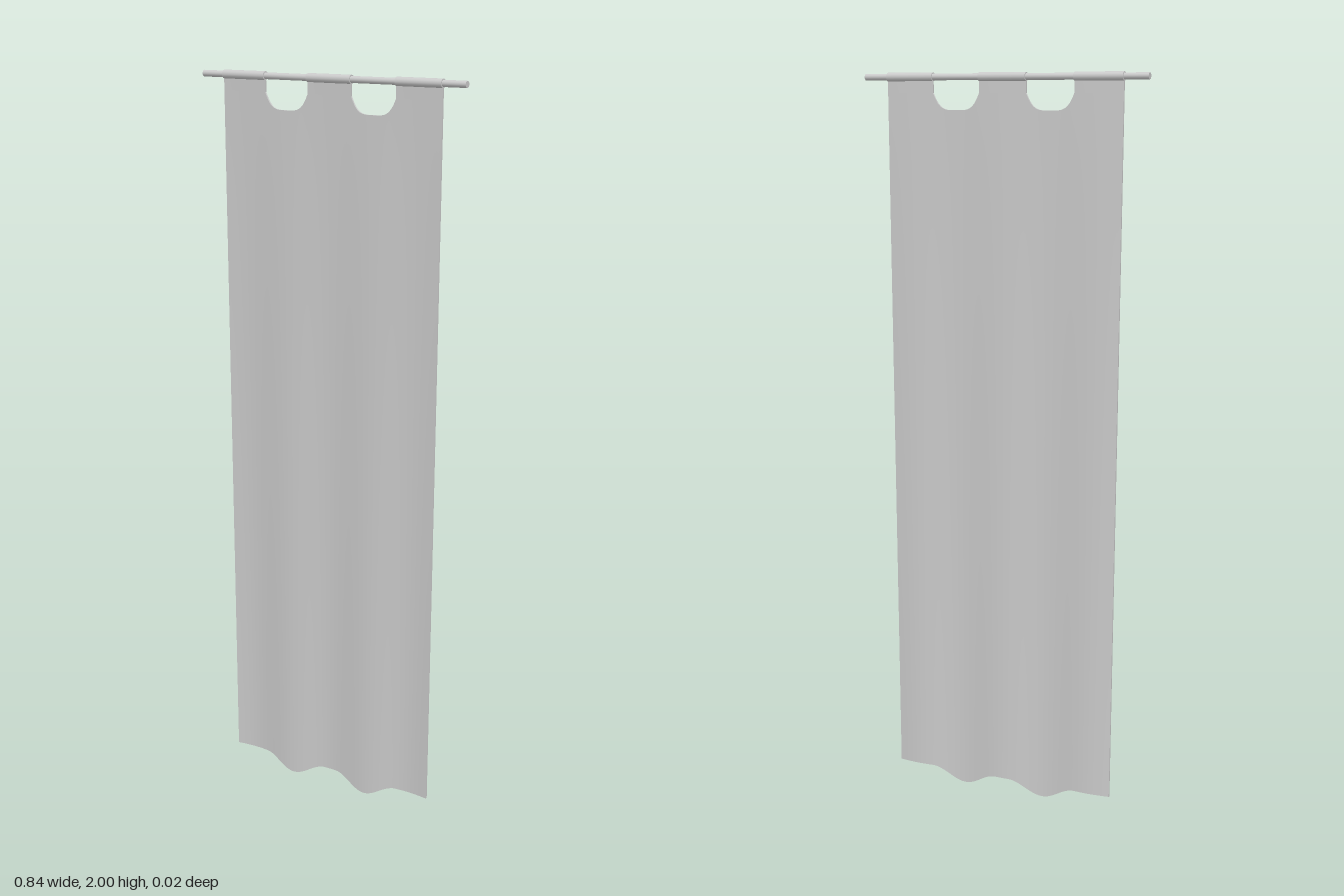
import * as THREE from 'three';

const ROD_Y = 1.988, TAB_Y = 1.945, HALF_W = 0.35, THICK = 0.005;
const material = new THREE.MeshStandardMaterial({ color: 0xcccccc, side: THREE.DoubleSide });

// Lower edge: two soft scallops hanging below a level hem
function hem(x) {
  const d = Math.min(1, Math.abs(Math.abs(x) - 0.13) / 0.11);
  return 0.037 - 0.0185 * (1 + Math.cos(Math.PI * d));
}

// Upper edge of the main cloth: dips into the two rounded openings
function upperEdge(x) {
  const d = Math.min(1, Math.abs(Math.abs(x) - 0.14) / 0.07);
  return 1.9 + (TAB_Y - 1.9) * d ** 4;
}

// Maps a flat position onto the tapering, gently rippled cloth
function drape(x, y, z) {
  const drop = Math.max(0, 1 - y / ROD_Y);
  const ripple = -0.006 * Math.sqrt(drop) * Math.cos((2 * Math.PI * x) / 0.28);
  return [x * (1 - 0.06 * drop), y, z + ripple];
}

// Thin slab between two edge functions, bent by the drape
function clothPanel(name, x0, x1, bottom, top, columns, rows) {
  const geometry = new THREE.BoxGeometry(x1 - x0, 1, THICK, columns, rows, 1);
  geometry.translate((x0 + x1) / 2, 0.5, 0);
  const p = geometry.attributes.position;
  for (let i = 0; i < p.count; i++) {
    const x = p.getX(i);
    const y = THREE.MathUtils.lerp(bottom(x), top(x), p.getY(i));
    p.setXYZ(i, ...drape(x, y, p.getZ(i)));
  }
  geometry.computeVertexNormals();
  const mesh = new THREE.Mesh(geometry, material);
  mesh.name = name;
  return mesh;
}

// Horizontal cylinder along the rod axis
function bar(name, radius, length, x) {
  const geometry = new THREE.CylinderGeometry(radius, radius, length, 12);
  geometry.rotateZ(Math.PI / 2);
  const mesh = new THREE.Mesh(geometry, material);
  mesh.name = name;
  mesh.position.set(x, ROD_Y, 0);
  return mesh;
}

export function createModel() {
  const group = new THREE.Group();
  group.name = 'hangingBanner';

  group.add(bar('rod', 0.009, 0.84, 0));
  group.add(clothPanel('cloth', -HALF_W, HALF_W, hem, upperEdge, 100, 24));

  // Three tabs, each wrapped around the rod
  for (const x of [-0.28, 0, 0.28]) {
    const tab = new THREE.Group();
    tab.name = 'tab';
    tab.add(clothPanel('tabStrap', x - 0.07, x + 0.07, () => TAB_Y, () => ROD_Y - 0.009, 10, 2));
    tab.add(bar('tabSleeve', 0.012, 0.14, x));
    group.add(tab);
  }
  return group;
}
